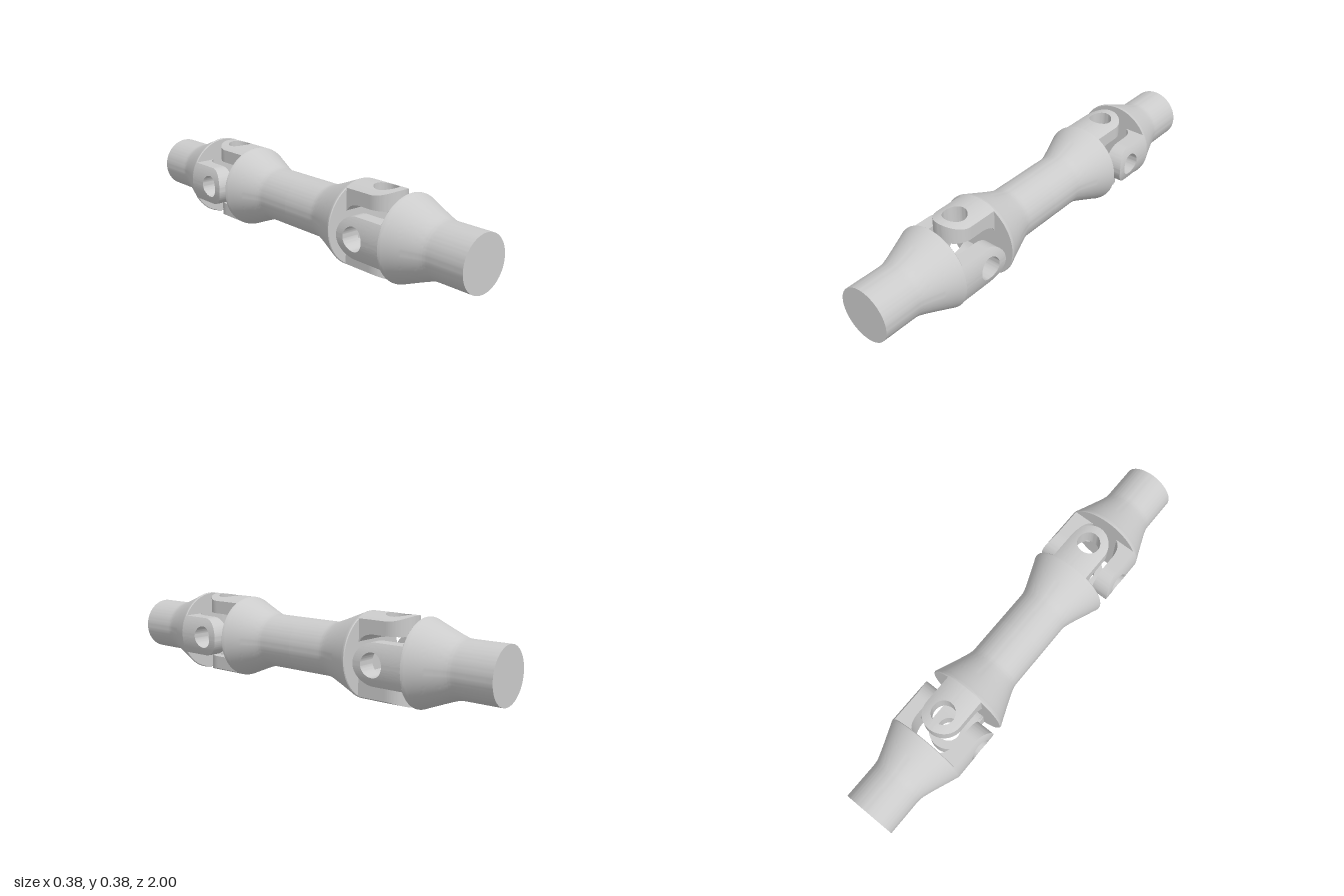
import * as THREE from 'three';
import { toCreasedNormals } from 'three/addons/utils/BufferGeometryUtils.js';

const R = 0.188;        // outer radius of bells and ears
const SHAFT = 0.121;    // shaft radius
const HALF = 0.09;      // half width of an ear
const HOLE = 0.052;     // bearing hole radius
const FACE = -0.135;    // bell face, measured from the joint centre
const AXIS = 0.188;     // height of the shaft axis

const material = new THREE.MeshStandardMaterial({ color: 0xcccccc });

// Shaft with flared bell, along z, ending at the bell face
function shaftGeometry() {
  const flare = new THREE.SplineCurve([
    [SHAFT, -0.34], [0.123, -0.315], [0.132, -0.285], [0.149, -0.24],
    [0.167, -0.195], [0.181, -0.16], [R - 0.001, -0.146],
  ].map(([r, z]) => new THREE.Vector2(r, z))).getPoints(28);
  const profile = [
    new THREE.Vector2(0, -0.5), new THREE.Vector2(SHAFT, -0.5),
    ...flare,
    new THREE.Vector2(R, -0.142), new THREE.Vector2(R, FACE - 0.003),
    new THREE.Vector2(R - 0.003, FACE), new THREE.Vector2(0, FACE),
  ];
  const g = new THREE.LatheGeometry(profile, 96);
  g.rotateX(Math.PI / 2);
  return toCreasedNormals(g, 0.6);
}

// Ear: a round-ended tongue around a hole, its outside following the cylinder
// of radius R and its inside filleted into the bell face
function earGeometry() {
  const around = 120, radial = 10, ring = 2 * (radial + 1);
  const reach = -FACE + 0.006;
  const positions = [], index = [];

  const outline = (c, s) => s >= 0 ? HALF
    : Math.min(HALF / Math.max(Math.abs(c), 1e-6), reach / -s);
  const outer = (u) => Math.sqrt(R * R - u * u);
  const inner = (v) => {
    const t = THREE.MathUtils.clamp((-v - 0.055) / 0.08, 0, 1);
    return 0.105 - 0.045 * (1 - Math.sqrt(1 - t * t));
  };

  for (let i = 0; i < around; i++) {
    const a = (i / around) * Math.PI * 2, c = Math.cos(a), s = Math.sin(a);
    const edge = outline(c, s);
    for (let j = 0; j < ring; j++) {
      const top = j <= radial;
      const r = HOLE + (edge - HOLE) * (top ? j : ring - 1 - j) / radial;
      const u = r * c, v = r * s;
      positions.push(u, top ? outer(u) : inner(v), v);
    }
  }
  for (let i = 0; i < around; i++) {
    for (let j = 0; j < ring; j++) {
      const i2 = (i + 1) % around, j2 = (j + 1) % ring;
      const a = i * ring + j, b = i2 * ring + j, c = i2 * ring + j2, d = i * ring + j2;
      index.push(a, b, d, b, c, d);
    }
  }
  const g = new THREE.BufferGeometry();
  g.setAttribute('position', new THREE.Float32BufferAttribute(positions, 3));
  g.setIndex(index);
  return toCreasedNormals(g, 0.6);
}

export function createModel() {
  const model = new THREE.Group();
  model.name = 'doubleUniversalJoint';
  const shaft = shaftGeometry(), ear = earGeometry();

  // A yoke is half a shaft, a bell and two opposite ears about the joint centre
  function addYoke(name, z, turn, roll) {
    const yoke = new THREE.Group();
    yoke.name = name;
    const body = new THREE.Mesh(shaft, material);
    body.name = 'shaftAndBell';
    yoke.add(body);
    for (const side of [0, 1]) {
      const lug = new THREE.Mesh(ear, material);
      lug.name = side ? 'earB' : 'earA';
      lug.rotation.z = side * Math.PI;
      yoke.add(lug);
    }
    yoke.position.set(0, AXIS, z);
    yoke.rotation.set(0, turn, roll);
    model.add(yoke);
  }

  // Middle shaft has ears above and below, end shafts have them left and right
  addYoke('middleFrontYoke', 0.5, 0, 0);
  addYoke('middleBackYoke', -0.5, Math.PI, 0);
  addYoke('frontEndYoke', 0.5, Math.PI, Math.PI / 2);
  addYoke('backEndYoke', -0.5, 0, Math.PI / 2);
  return model;
}
